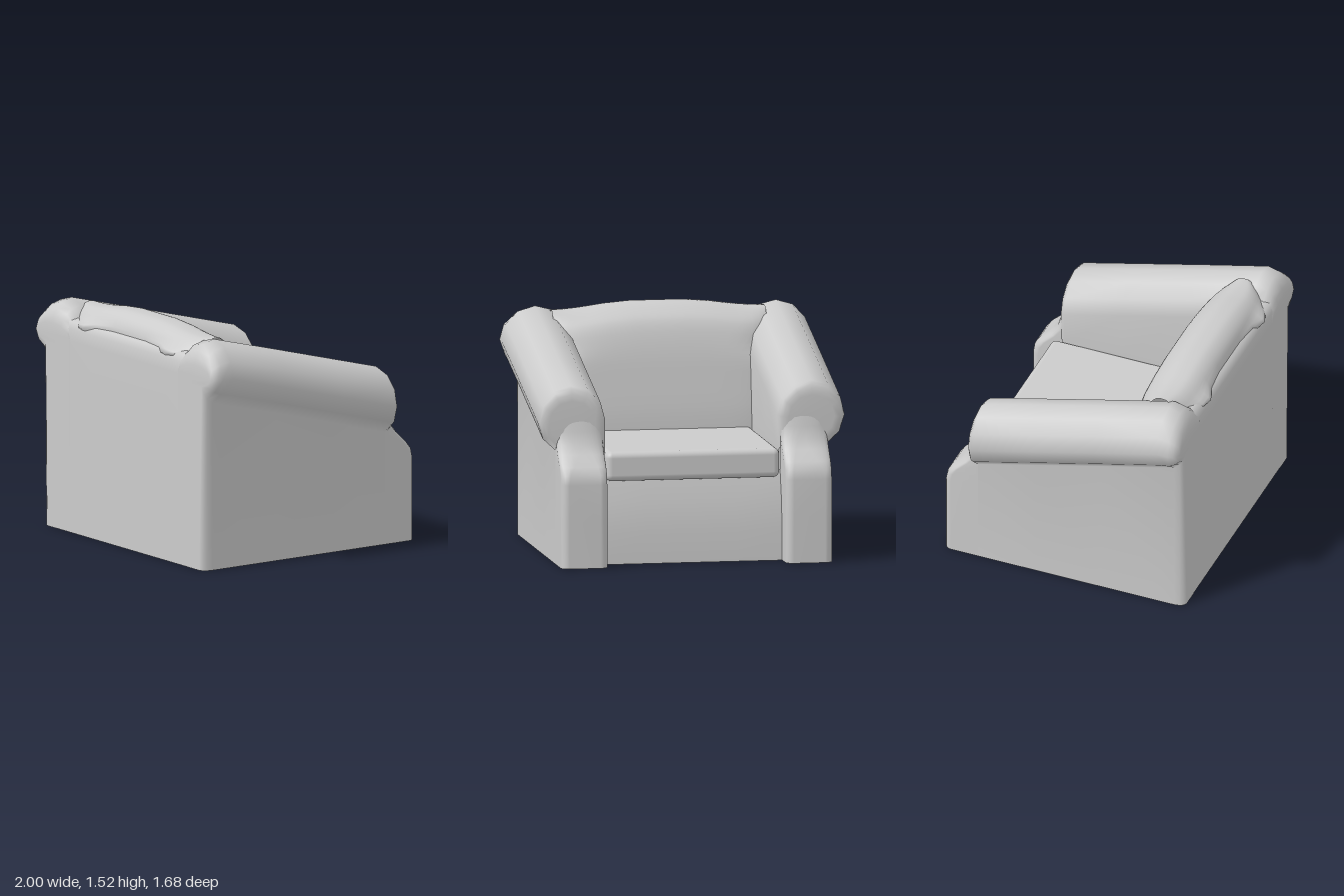
import * as THREE from 'three';
import { RoundedBoxGeometry } from 'three/addons/geometries/RoundedBoxGeometry.js';

const material = new THREE.MeshStandardMaterial({ color: 0xcccccc, side: THREE.DoubleSide });
const { smoothstep } = THREE.MathUtils;

// Skin a surface over a list of equally long rings of [x, y, z] points
function loft(rings) {
  const n = rings[0].length, index = [];
  for (let i = 0; i < rings.length - 1; i++) {
    for (let j = 0; j < n - 1; j++) {
      const a = i * n + j, b = a + n;
      index.push(a, a + 1, b, b, a + 1, b + 1);
    }
  }
  const g = new THREE.BufferGeometry();
  g.setAttribute('position', new THREE.Float32BufferAttribute(rings.flat(2), 3));
  g.setIndex(index);
  g.computeVertexNormals();
  return g;
}

function part(name, geometry, parent) {
  const mesh = new THREE.Mesh(geometry, material);
  mesh.name = name;
  parent.add(mesh);
  return mesh;
}

// Height of the arm roll's axis, falling towards the seat front (-z)
const axisY = z => 1.27 + 0.267 * (Math.min(z, 0.67) - 0.67);

// Arm section: outer wall, roll, inner wall; dx and dy draw it in at the ends
function armSection(z, dx, dy) {
  const cy = axisY(z), pts = [[0.883 - dx, 0, z]];
  const a0 = -1.09, a1 = Math.PI, steps = 8;
  for (let i = 0; i <= steps; i++) {
    const a = a0 + (a1 - a0) * i / steps;
    pts.push([0.78 + (0.22 - dx) * Math.cos(a), cy + (0.22 - dy) * Math.sin(a), z]);
  }
  for (const y of [0.72, 0.56]) pts.push([0.56 + dx, y, z]);
  return pts;
}

function armGeometry() {
  const front = [[-0.64, 0.07, 0.08], [-0.635, 0.035, 0.04], [-0.62, 0.012, 0.012], [-0.6, 0, 0]];
  const back = [[0.68, 0, 0], [0.76, 0, 0.025], [0.795, 0.006, 0.06], [0.82, 0.02, 0.1], [0.83, 0.045, 0.15]];
  const rings = [...front, [-0.2, 0, 0], [0.25, 0, 0], ...back].map(s => armSection(...s));
  // End caps: each end ring is gathered onto a line down the middle of the arm
  const gather = ring => ring.map(([x, y, z]) => [0.72, Math.min(y, axisY(z)), z]);
  rings.unshift(gather(rings[0]));
  rings.push(gather(rings[rings.length - 1]));
  // Keep the front end inside the post open below
  for (let i = 0; i < 4; i++) rings[i].forEach(p => { p[1] = Math.max(p[1], 0.72); });
  return loft(rings);
}

// Post: U-shaped plan stacked upwards, leaning back into the arm roll.
// Each level: height, depth of the front, width of the outer and inner corner rounding
function postGeometry() {
  const levels = [[0, 0.838, 0.05, 0.05], [0.3, 0.838, 0.05, 0.05], [0.54, 0.838, 0.05, 0.05],
    [0.6, 0.828, 0.06, 0.05], [0.65, 0.795, 0.09, 0.06], [0.72, 0.725, 0.13, 0.08],
    [0.78, 0.68, 0.15, 0.1], [0.86, 0.655, 0.15, 0.12], [0.96, 0.632, 0.15, 0.13]];
  return loft(levels.map(([y, f, outer, inner]) => {
    const rz = Math.min(0.05, (f - 0.6) * 0.9), ring = [[0.883, y, -0.6]];
    for (let i = 0; i <= 5; i++) {
      const a = i / 5 * Math.PI / 2;
      ring.push([0.883 - outer + outer * Math.cos(a), y, -f + rz - rz * Math.sin(a)]);
    }
    for (let i = 5; i >= 0; i--) {
      const a = i / 5 * Math.PI / 2;
      ring.push([0.58 + inner - inner * Math.cos(a), y, -f + rz - rz * Math.sin(a)]);
    }
    ring.push([0.58, y, -0.6]);
    return ring;
  }));
}

// Back cushion: closed (z, y) outline swept across x, wider and drooping at the top
function backCushionGeometry() {
  const outline = [[0.33, 0.42], [0.295, 0.72], [0.325, 1.02], [0.365, 1.26], [0.42, 1.41], [0.49, 1.475],
    [0.56, 1.51], [0.625, 1.515], [0.69, 1.505], [0.75, 1.46], [0.78, 1.39], [0.77, 1.2], [0.74, 0.8], [0.71, 0.4]];
  const curve = new THREE.CatmullRomCurve3(outline.map(([z, y]) => new THREE.Vector3(0, y, z)), true);
  const points = curve.getPoints(56), rings = [];
  const stations = [-1, -0.97, -0.92, -0.85, -0.75, -0.65, -0.5, -0.25, 0];
  for (const t of [...stations, ...stations.slice(0, -1).reverse().map(v => -v)]) {
    const u = Math.abs(t);
    rings.push(points.map(p => {
      const high = smoothstep(p.y, 1.15, 1.42);
      const s = 1 - u ** 9 * (0.02 + 0.42 * high);
      const x = t * (0.565 + 0.13 * high);
      const y = p.y - 0.043 * high * smoothstep(u, 0.25, 0.9);
      // Small tucks pushed out through the back near each end
      const tuck = p.z > 0.7 ? 0.06 * Math.exp(-(((Math.abs(x) - 0.46) / 0.11) ** 2) - ((y - 1.365) / 0.035) ** 2) : 0;
      return [x, y, 0.57 + (p.z - 0.57) * s + tuck];
    }));
  }
  return loft(rings);
}

// Sheet: a (z, y) line carried straight across x
function sheet(line, halfWidth) {
  return loft(line.map(([z, y]) => [-1, -0.5, 0, 0.5, 1].map(t => [t * halfWidth, y, z])));
}

export function createModel() {
  const chair = new THREE.Group();
  chair.name = 'armchair';

  // Left and right arms with their front posts
  const arm = armGeometry(), post = postGeometry();
  for (const [side, sx] of [['left', 1], ['right', -1]]) {
    const group = new THREE.Group();
    group.name = side + 'Arm';
    group.scale.x = sx;
    part(side + 'Armrest', arm, group);
    part(side + 'FrontPost', post, group);
    chair.add(group);
  }

  // Upright rear panel, rolling over at the top
  part('backPanel', sheet([[0.828, 0], [0.828, 0.7], [0.828, 1.25], [0.822, 1.33],
    [0.8, 1.375], [0.75, 1.392], [0.6, 1.385]], 0.73), chair);

  // Panel below the seat
  part('frontPanel', sheet([[-0.68, 0], [-0.675, 0.2], [-0.65, 0.4], [-0.6, 0.58]], 0.585), chair);

  // Cushions
  const seat = part('seatCushion', new RoundedBoxGeometry(1.13, 0.19, 1.13, 5, 0.04), chair);
  seat.position.set(0, 0.63, -0.115);
  part('backCushion', backCushionGeometry(), chair);

  return chair;
}
